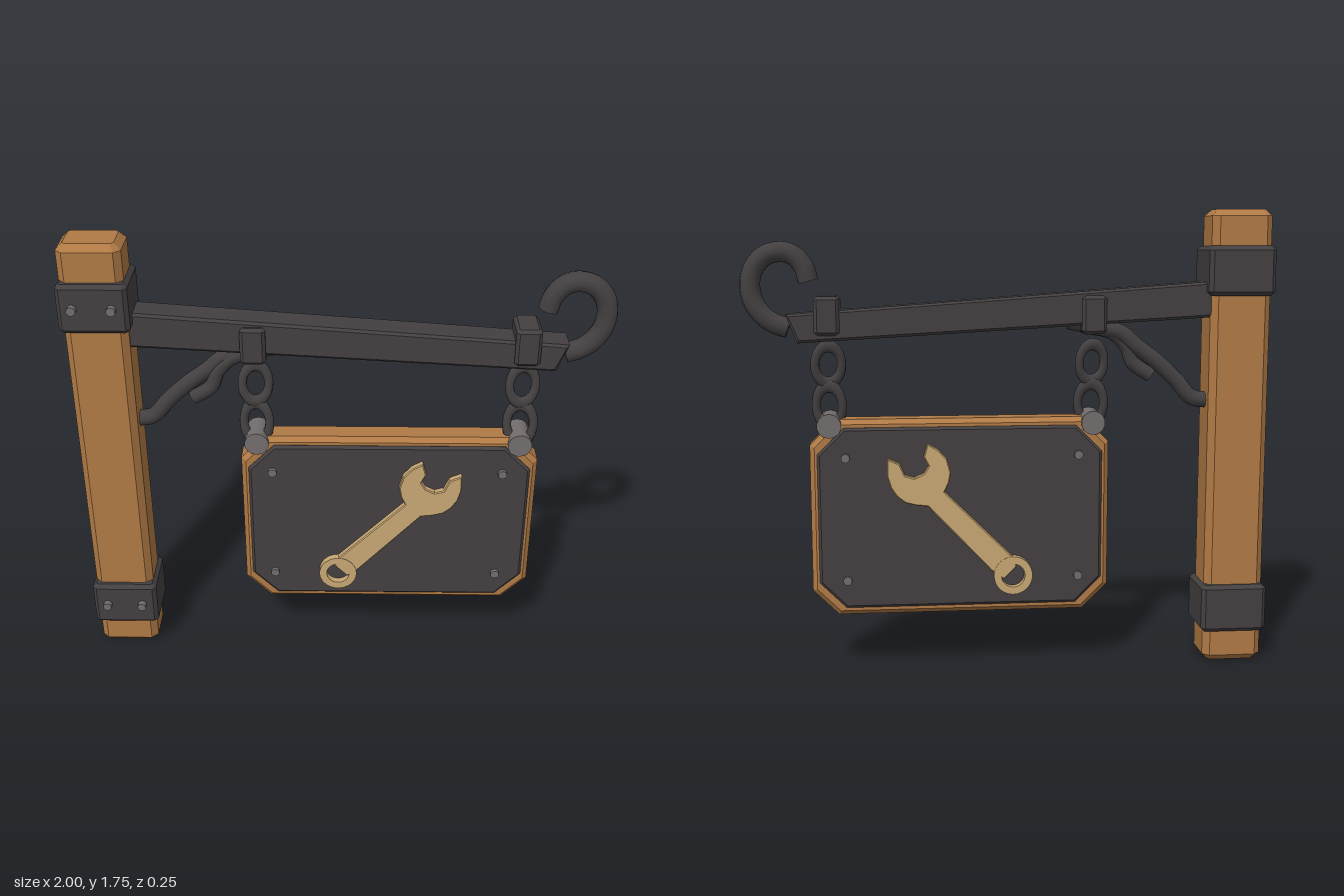
import * as THREE from 'three';

const mat = (name, color, side = THREE.FrontSide) => {
  const m = new THREE.MeshStandardMaterial({ color, side });
  m.name = name;
  return m;
};

const Z = -0.015; // middle plane of the post, beam and board

export function createModel() {
  const wood = mat('wood', 0xb07a45);
  const iron = mat('dark iron', 0x444041);
  const steel = mat('grey steel', 0x746e6e);
  const brass = mat('pale brass', 0xc8a874);
  const root = new THREE.Group();
  root.name = 'hangingSign';

  const add = (name, geometry, material, x = 0, y = 0, z = 0, parent = root) => {
    const mesh = new THREE.Mesh(geometry, material);
    mesh.name = name;
    mesh.position.set(x, y, z);
    parent.add(mesh);
    return mesh;
  };

  const polygon = (pts) => new THREE.Shape(pts.map(([x, y]) => new THREE.Vector2(x, y)));

  // rectangle with its four corners cut off
  const cutRect = (w, h, c) => {
    const a = w / 2, b = h / 2;
    return polygon([[-a + c, -b], [a - c, -b], [a, -b + c], [a, b - c],
      [a - c, b], [-a + c, b], [-a, b - c], [-a, -b + c]]);
  };

  // slab of a given total depth, chamfered inside its outline and centred on z
  const slab = (shape, depth, c) => {
    const g = new THREE.ExtrudeGeometry(shape, {
      depth: depth - 2 * c, bevelEnabled: c > 0, bevelThickness: c, bevelSize: c,
      bevelOffset: -c, bevelSegments: 1, curveSegments: 20,
    });
    return g.translate(0, 0, -(depth - 2 * c) / 2);
  };

  // upright chamfered box
  const block = (w, h, d, c) => slab(cutRect(w, d, c), h, c).rotateX(-Math.PI / 2);

  // round bar along a curve, closed by flat ends
  const bar = (name, pts, radius) => {
    const group = new THREE.Group();
    group.name = name;
    root.add(group);
    const curve = new THREE.CatmullRomCurve3(pts.map(([x, y, z = 0]) => new THREE.Vector3(x, y, Z + z)));
    add(name + 'Bar', new THREE.TubeGeometry(curve, 40, radius, 12), iron, 0, 0, 0, group);
    for (const t of [0, 1]) {
      const p = curve.getPointAt(t);
      const dir = curve.getTangentAt(t).multiplyScalar(t ? 1 : -1);
      const cap = add(name + 'End', new THREE.CircleGeometry(radius, 12), iron, p.x, p.y, p.z, group);
      cap.quaternion.setFromUnitVectors(new THREE.Vector3(0, 0, 1), dir);
    }
  };

  const stud = (r, l) => new THREE.CylinderGeometry(r, r, l, 10).rotateX(Math.PI / 2);

  // post with two iron bands and their bolts
  add('post', block(0.23, 1.755, 0.178, 0.025), wood, -0.875, 0.8775, Z);
  for (const y of [1.525, 0.218]) {
    add('postBand', block(0.255, 0.187, 0.228, 0.015), iron, -0.8725, y, -0.012);
    for (const x of [-0.943, -0.803]) add('bandBolt', stud(0.017, 0.04), steel, x, y + 0.005, 0.106);
  }

  // sloping beam
  add('beam', slab(polygon([[-0.8, 1.352], [0.79, 1.262], [0.832, 1.368], [-0.8, 1.488]]), 0.122, 0.01),
    iron, 0, 0, -0.021);

  // hook at the beam's end
  bar('hook', [[0.748, 1.488], [0.763, 1.54], [0.8, 1.583], [0.85, 1.597], [0.908, 1.58],
    [0.95, 1.53], [0.962, 1.475], [0.95, 1.41], [0.915, 1.36], [0.875, 1.332], [0.825, 1.315]], 0.038);

  // bent brace with a side strand
  bar('brace', [[-0.775, 1.028], [-0.71, 1.04], [-0.65, 1.105], [-0.57, 1.18], [-0.49, 1.24],
    [-0.43, 1.29], [-0.34, 1.312], [-0.23, 1.335]], 0.031);
  bar('braceStrand', [[-0.55, 1.125, 0.01], [-0.48, 1.175, 0.015], [-0.455, 1.235, 0.012],
    [-0.4, 1.29, 0.008], [-0.3, 1.315, 0]], 0.028);

  // collars, chains and pins, repeated at both hanging points
  for (const x of [-0.317, 0.681]) {
    add('beamCollar', block(0.094, 0.145, 0.152, 0.012), iron, x, 1.362, -0.018);
    const upper = add('upperLink', new THREE.TorusGeometry(0.05, 0.017, 10, 28), iron, x, 1.178, -0.02);
    upper.scale.y = 1.42;
    upper.rotation.set(-0.14, 0.15, 0);
    const lower = add('lowerLink', new THREE.TorusGeometry(0.05, 0.017, 10, 28), iron, x, 1.02, -0.005);
    lower.scale.y = 1.55;
    lower.rotation.set(-0.12, -0.15, 0);
    add('chainPin', new THREE.CylinderGeometry(0.046, 0.046, 0.13, 14).rotateX(Math.PI / 2),
      steel, x, 0.952, Z);
  }

  // wooden board with iron panels on both faces
  const bx = 0.188, by = 0.597;
  add('board', slab(cutRect(1.135, 0.755, 0.097), 0.112, 0.018), wood, bx, by, Z);
  add('panel', slab(cutRect(1.08, 0.695, 0.1), 0.134, 0.01), iron, bx, by, Z);

  // wrench outline: handle and open jaw
  const wrench = polygon([[-0.022, 0.405], [0.028, 0.355], [0.075, 0.39], [0.315, 0.645], [0.36, 0.65], [0.4, 0.66],
    [0.432, 0.685], [0.455, 0.72], [0.468, 0.765], [0.466, 0.83], [0.42, 0.81], [0.4, 0.765],
    [0.365, 0.755], [0.33, 0.772], [0.312, 0.8], [0.33, 0.835], [0.316, 0.885], [0.275, 0.862],
    [0.242, 0.825], [0.228, 0.775], [0.235, 0.735], [0.252, 0.7], [-0.005, 0.445]]);
  const ring = new THREE.Shape().absarc(0, 0, 0.074, 0, Math.PI * 2);
  ring.holes.push(new THREE.Path().absarc(0, 0, 0.045, 0, Math.PI * 2, true));

  // emblem and rivets on the front and the back
  for (const s of [1, -1]) {
    const side = new THREE.Group();
    side.name = s > 0 ? 'frontEmblem' : 'backEmblem';
    root.add(side);
    add('wrenchBody', slab(wrench, 0.03, 0.004), brass, 0, 0, Z + s * 0.078, side);
    add('wrenchRing', slab(ring, 0.034, 0), brass, -0.008, 0.37, Z + s * 0.078, side);
    for (const x of [-0.26, 0.622]) {
      for (const y of [0.36, 0.832]) add('panelRivet', stud(0.017, 0.024), steel, x, y, Z + s * 0.07, side);
    }
  }
  return root;
}
